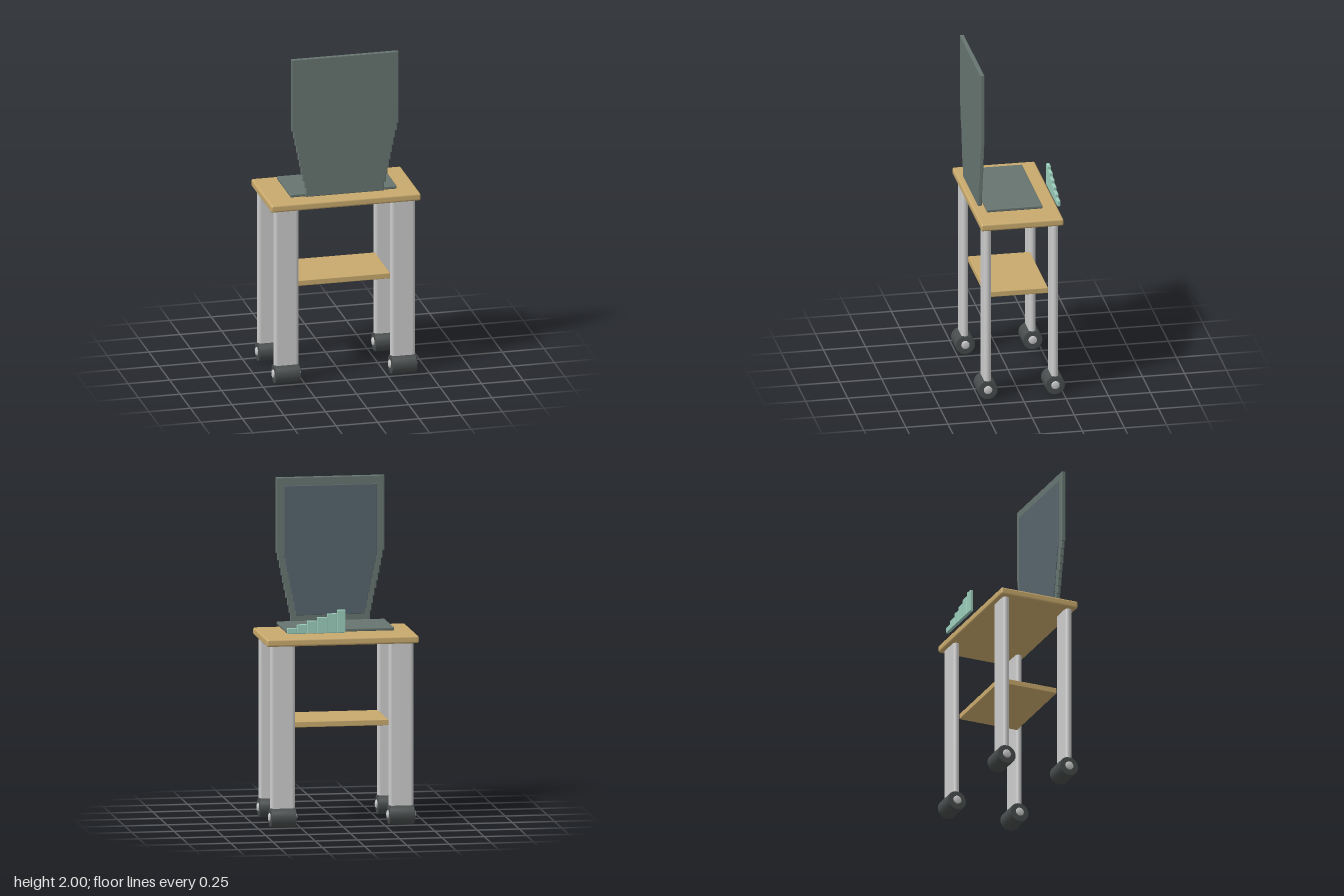
import * as THREE from 'three';
import { RoundedBoxGeometry } from 'three/addons/geometries/RoundedBoxGeometry.js';

const mat = (color) => new THREE.MeshStandardMaterial({ color });
const wood = mat(0xc8a96c);
const metal = mat(0xcccccc);
const rubber = mat(0x484c4c);
const casing = mat(0x66746f);
const glass = mat(0x56646c);
const mint = mat(0x9accba);

function add(parent, name, geometry, material, x = 0, y = 0, z = 0) {
  const mesh = new THREE.Mesh(geometry, material);
  mesh.name = name;
  mesh.position.set(x, y, z);
  parent.add(mesh);
  return mesh;
}

// Symmetrical panel outline: straight above, narrowing in small stairs below
function steppedOutline(topHalf, bottomHalf, y0, yLow, yHigh, y1, steps) {
  const right = [[bottomHalf, y0]];
  for (let i = 0; i < steps; i++) {
    const y = yLow + ((yHigh - yLow) * i) / (steps - 1);
    const a = bottomHalf + ((topHalf - bottomHalf) * i) / steps;
    const b = bottomHalf + ((topHalf - bottomHalf) * (i + 1)) / steps;
    right.push([a, y], [b, y]);
  }
  right.push([topHalf, y1]);
  const left = right.map(([x, y]) => [-x, y]).reverse();
  return new THREE.Shape([...right, ...left].map(([x, y]) => new THREE.Vector2(x, y)));
}

// Extrusion with its bevel kept inside the outline, from z = 0 to z = depth
function slab(shape, depth, bevel) {
  return new THREE.ExtrudeGeometry(shape, {
    depth: depth - 2 * bevel, bevelThickness: bevel, bevelSize: bevel,
    bevelOffset: -bevel, bevelSegments: 2, curveSegments: 12,
  }).translate(0, 0, bevel);
}

// Flat leg section with rounded ends
function legGeometry(width, thickness, height) {
  const r = thickness / 2, h = width / 2 - r;
  const shape = new THREE.Shape();
  shape.moveTo(-h, -r);
  shape.lineTo(h, -r);
  shape.absarc(h, 0, r, -Math.PI / 2, Math.PI / 2, false);
  shape.lineTo(-h, r);
  shape.absarc(-h, 0, r, Math.PI / 2, Math.PI * 1.5, false);
  return new THREE.ExtrudeGeometry(shape, { depth: height, bevelEnabled: false, curveSegments: 12 })
    .rotateX(-Math.PI / 2);
}

export function createModel() {
  const model = new THREE.Group();
  model.name = 'computerTrolley';

  // Table top and lower shelf
  add(model, 'tableTop', new RoundedBoxGeometry(0.9, 0.045, 0.49, 3, 0.012), wood, 0, 1.093, 0);
  add(model, 'lowerShelf', new RoundedBoxGeometry(0.56, 0.034, 0.37, 2, 0.004), wood, 0, 0.6, 0);

  // Four legs, each on a wide roller with a hub through it
  const leg = legGeometry(0.148, 0.04, 0.98);
  const e = 0.004, R = 0.058, W = 0.075;
  const wheel = new THREE.LatheGeometry(
    [[0, -W], [R - e, -W], [R, -W + e], [R, W - e], [R - e, W], [0, W]]
      .map(([x, y]) => new THREE.Vector2(x, y)), 32).rotateZ(Math.PI / 2);
  const hub = new THREE.LatheGeometry(
    [[0, -0.084], [0.018, -0.084], [0.025, -0.078], [0.025, 0.078], [0.018, 0.084], [0, 0.084]]
      .map(([x, y]) => new THREE.Vector2(x, y)), 24).rotateZ(Math.PI / 2);
  for (const sx of [-1, 1]) {
    for (const sz of [-1, 1]) {
      const unit = new THREE.Group();
      unit.name = (sz > 0 ? 'front' : 'back') + (sx > 0 ? 'Left' : 'Right') + 'Leg';
      unit.position.set(sx * 0.35, 0, sz * 0.2);
      add(unit, 'post', leg, metal, 0, 0.095, 0);
      add(unit, 'wheel', wheel, rubber, 0, R, 0);
      add(unit, 'hub', hub, metal, 0, R + 0.002, 0);
      model.add(unit);
    }
  }

  // Keyboard base, upright lid and the inset display on its inner side
  add(model, 'keyboardBase', new RoundedBoxGeometry(0.64, 0.02, 0.33, 2, 0.006), casing, 0, 1.145, 0.021);
  add(model, 'lid', slab(steppedOutline(0.32, 0.235, 1.145, 1.2, 1.555, 2, 9), 0.024, 0.004),
    casing, 0, 0, 0.2);
  add(model, 'display', slab(steppedOutline(0.275, 0.205, 1.185, 1.22, 1.53, 1.95, 8), 0.01, 0.002),
    glass, 0, 0, 0.194);

  // Row of upright bars at the back, shrinking towards the left
  const edges = [-0.015, 0.035, 0.093, 0.153, 0.212, 0.272, 0.33];
  const bars = new THREE.Group();
  bars.name = 'barRow';
  for (let i = 0; i < 6; i++) {
    const height = 0.135 - i * 0.02;
    add(bars, 'bar' + (i + 1),
      new RoundedBoxGeometry(edges[i + 1] - edges[i], height, 0.02, 2, 0.004),
      mint, (edges[i] + edges[i + 1]) / 2, 1.145 + height / 2, -0.239);
  }
  model.add(bars);
  return model;
}
